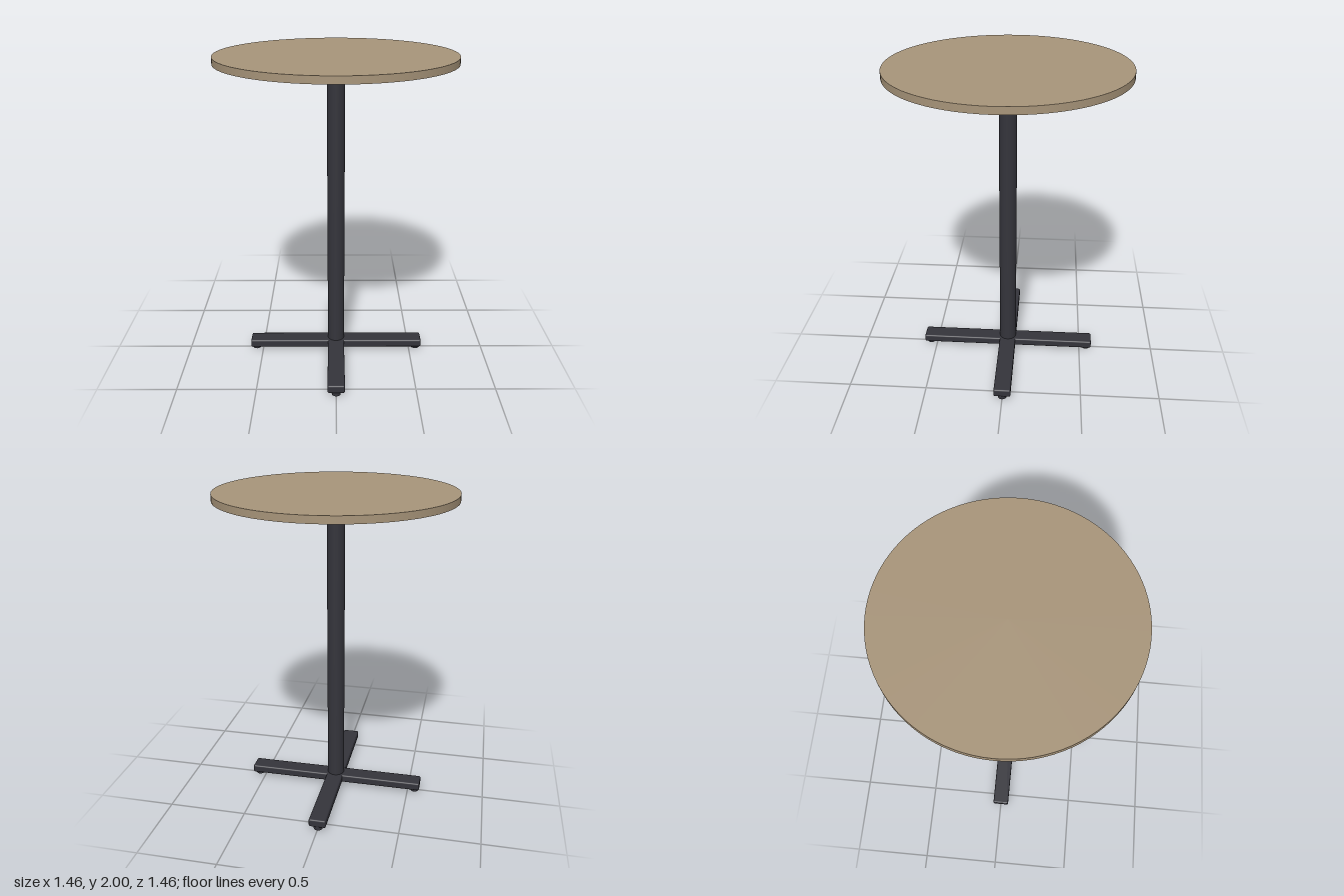
import * as THREE from 'three';
import { RoundedBoxGeometry } from 'three/addons/geometries/RoundedBoxGeometry.js';

export function createModel() {
  const model = new THREE.Group();
  model.name = 'pedestalTable';

  const wood = new THREE.MeshStandardMaterial({ color: 0xa8957a });
  wood.name = 'warm wood';
  const metal = new THREE.MeshStandardMaterial({ color: 0x34343b });
  metal.name = 'dark metal';

  const add = (name, geometry, material, x = 0, y = 0, z = 0) => {
    const mesh = new THREE.Mesh(geometry, material);
    mesh.name = name;
    mesh.position.set(x, y, z);
    model.add(mesh);
    return mesh;
  };
  const disc = (radius, height, sides) => new THREE.CylinderGeometry(radius, radius, height, sides);

  // Round top
  add('tableTop', disc(0.728, 0.043, 96), wood, 0, 1.9785, 0);

  // Column
  add('column', disc(0.055, 1.825, 48), metal, 0, 0.9775, 0);

  // Tilt bracket under the top
  add('bracketPlate', new RoundedBoxGeometry(0.176, 0.038, 0.288, 2, 0.006), metal, 0, 1.919, 0);
  add('bracketBlock', new THREE.BoxGeometry(0.11, 0.014, 0.19), metal, 0, 1.943, 0);
  add('mountingPlate', new THREE.BoxGeometry(0.14, 0.016, 0.246), metal, 0, 1.95, 0);

  // Release lever and its grip
  add('lever', disc(0.007, 0.14, 16), metal, 0, 1.921, 0.205).rotation.x = Math.PI / 2;
  add('leverGrip', new RoundedBoxGeometry(0.042, 0.024, 0.038, 3, 0.008), wood, 0, 1.921, 0.284);

  // Crossed base bars
  for (const angle of [0, Math.PI / 2]) {
    add('baseBar', new RoundedBoxGeometry(1.16, 0.052, 0.108, 3, 0.01), metal, 0, 0.052, 0).rotation.y = angle;
  }

  // Levelling feet, one near each bar end
  for (let i = 0; i < 4; i++) {
    const a = (i * Math.PI) / 2;
    add('foot', disc(0.028, 0.028, 24), metal, 0.545 * Math.cos(a), 0.014, 0.545 * Math.sin(a));
  }
  return model;
}
